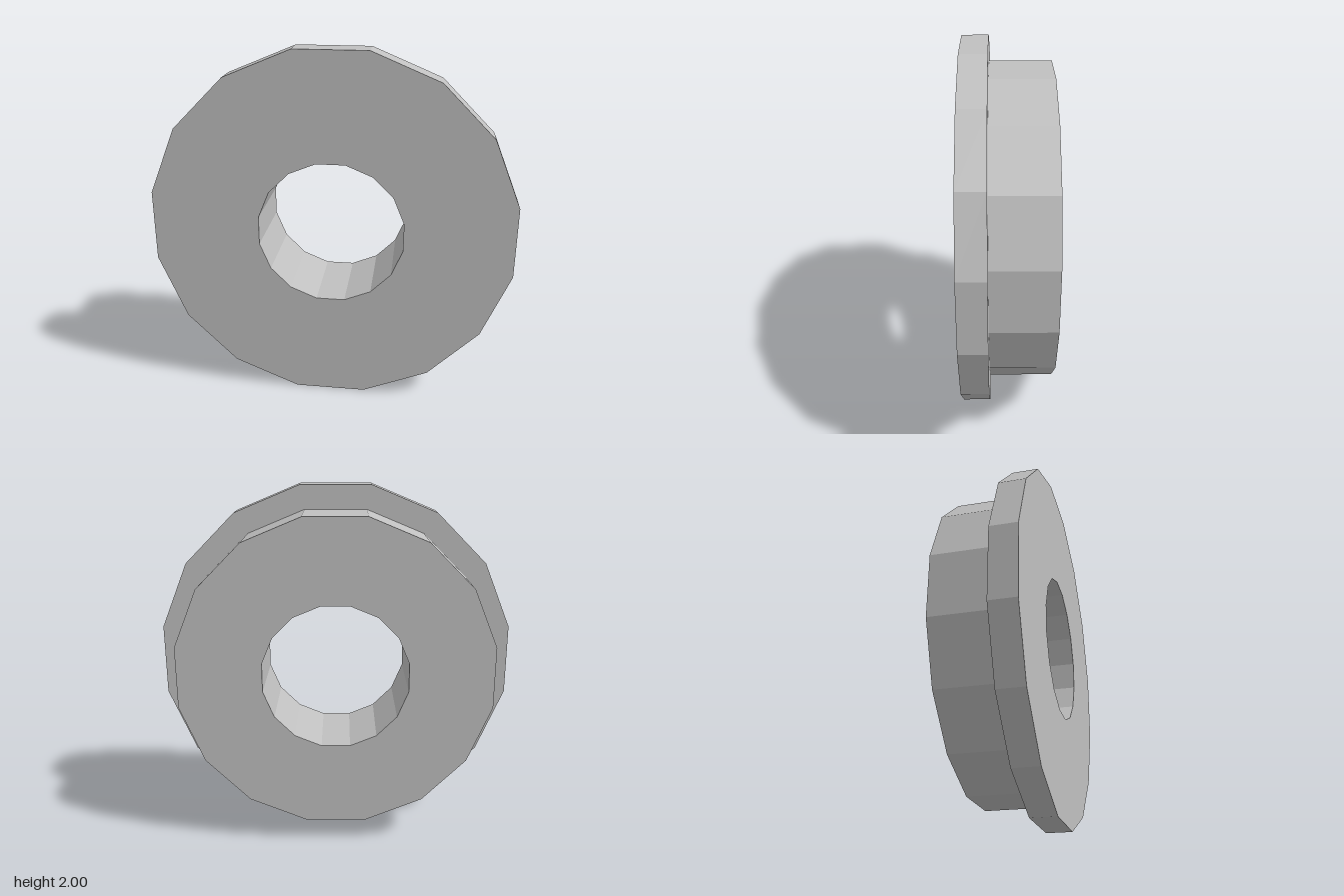
import * as THREE from 'three';

const SIDES = 16;
// Sizes are measured across the flats, so scale up to the corner radius
const corner = 1 / Math.cos(Math.PI / SIDES);

const FLANGE_R = 1, TREAD_R = 0.867, BORE_R = 0.4;
const FRONT = 0, STEP = -0.146, BACK = -0.486;

export function createModel() {
  const metal = new THREE.MeshStandardMaterial({ color: 0xc0c0c0, flatShading: true });
  metal.name = 'grey metal';

  // Revolve a [radius, depth] profile round the wheel axis (z)
  function ring(name, profile) {
    const points = profile.map(([r, z]) => new THREE.Vector2(r * corner, z));
    const geometry = new THREE.LatheGeometry(points, SIDES, Math.PI / SIDES);
    geometry.rotateX(Math.PI / 2);
    const mesh = new THREE.Mesh(geometry, metal);
    mesh.name = name;
    return mesh;
  }

  const wheel = new THREE.Group();
  wheel.name = 'flangedWheel';
  wheel.add(
    // Wide rim with the front face
    ring('flange', [[TREAD_R, STEP], [FLANGE_R, STEP], [FLANGE_R, FRONT], [BORE_R, FRONT]]),
    // Narrower running surface with the back face
    ring('tread', [[BORE_R, BACK], [TREAD_R, BACK], [TREAD_R, STEP]]),
    // Axle hole, facing inward
    ring('bore', [[BORE_R, FRONT], [BORE_R, BACK]])
  );

  // The wheel stands upright, turned slightly to one side
  wheel.rotation.y = -0.185;
  wheel.position.set(-0.018, 1, 0.222);

  const model = new THREE.Group();
  model.name = 'model';
  model.add(wheel);
  return model;
}
